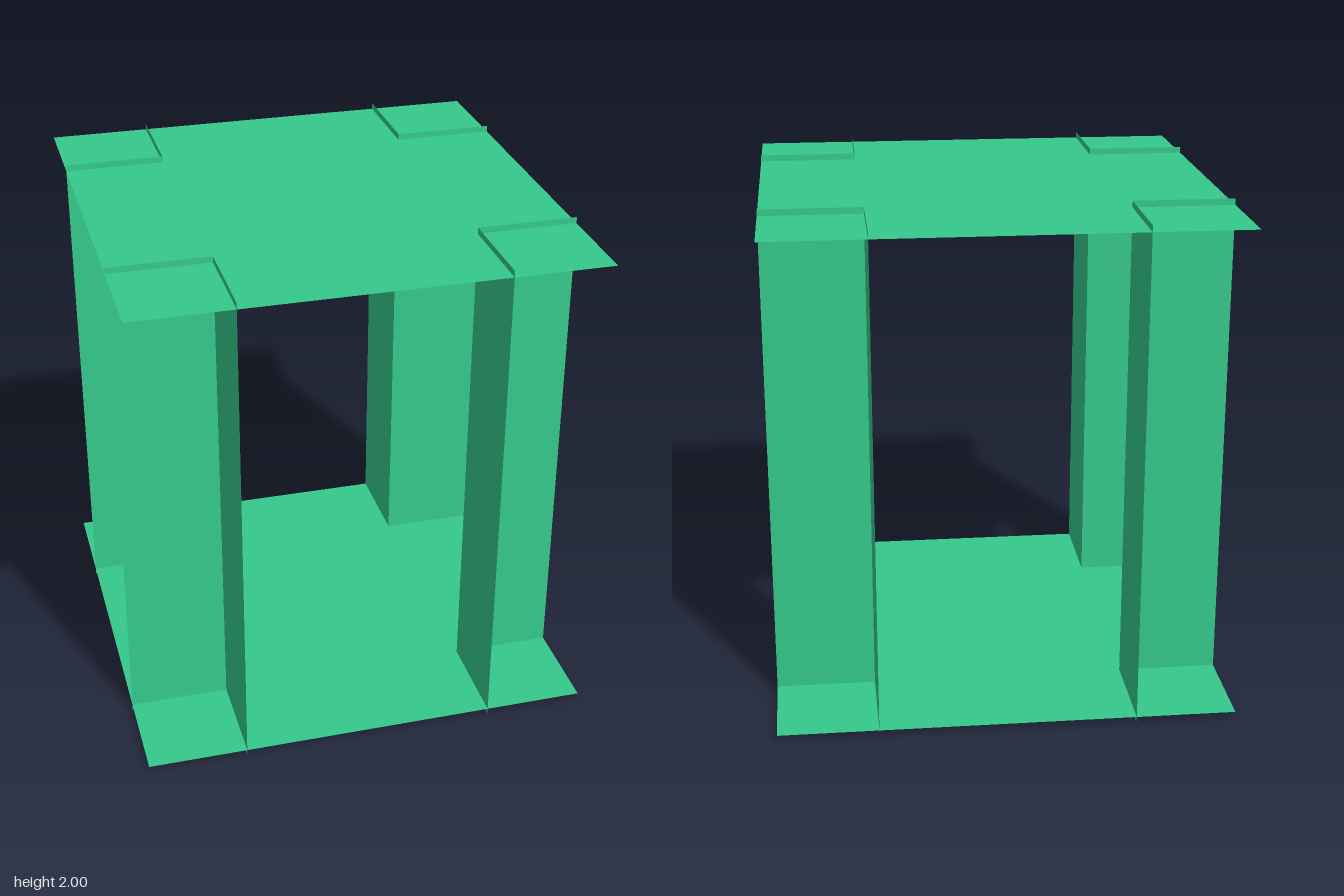
import * as THREE from 'three';

const HALF = 0.9;    // half width of the plates
const INNER = 0.505; // inner fold line of the corner posts
const HEIGHT = 2;
const INSET = 0.025; // how far the posts run past each plate

export function createModel() {
  const model = new THREE.Group();
  model.name = 'slottedSheetFrame';
  const material = new THREE.MeshStandardMaterial({ color: 0x34c98b, side: THREE.DoubleSide });

  // Two thin square plates
  const plateGeometry = new THREE.PlaneGeometry(2 * HALF, 2 * HALF).rotateX(-Math.PI / 2);
  for (const [name, y] of [['bottomPlate', INSET], ['topPlate', HEIGHT - INSET]]) {
    const plate = new THREE.Mesh(plateGeometry, material);
    plate.name = name;
    plate.position.y = y;
    model.add(plate);
  }

  // Four L-shaped posts, each folded from two thin panels
  const width = HALF - INNER;
  const mid = (HALF + INNER) / 2;
  const panelGeometry = new THREE.PlaneGeometry(width, HEIGHT);
  for (const sx of [-1, 1]) {
    for (const sz of [-1, 1]) {
      const post = new THREE.Group();
      post.name = (sz > 0 ? 'front' : 'back') + (sx > 0 ? 'Left' : 'Right') + 'Post';

      const across = new THREE.Mesh(panelGeometry, material);
      across.name = 'acrossPanel';
      across.position.set(sx * mid, HEIGHT / 2, sz * INNER);

      const along = new THREE.Mesh(panelGeometry, material);
      along.name = 'alongPanel';
      along.position.set(sx * INNER, HEIGHT / 2, sz * mid);
      along.rotation.y = Math.PI / 2;

      post.add(across, along);
      model.add(post);
    }
  }
  return model;
}
